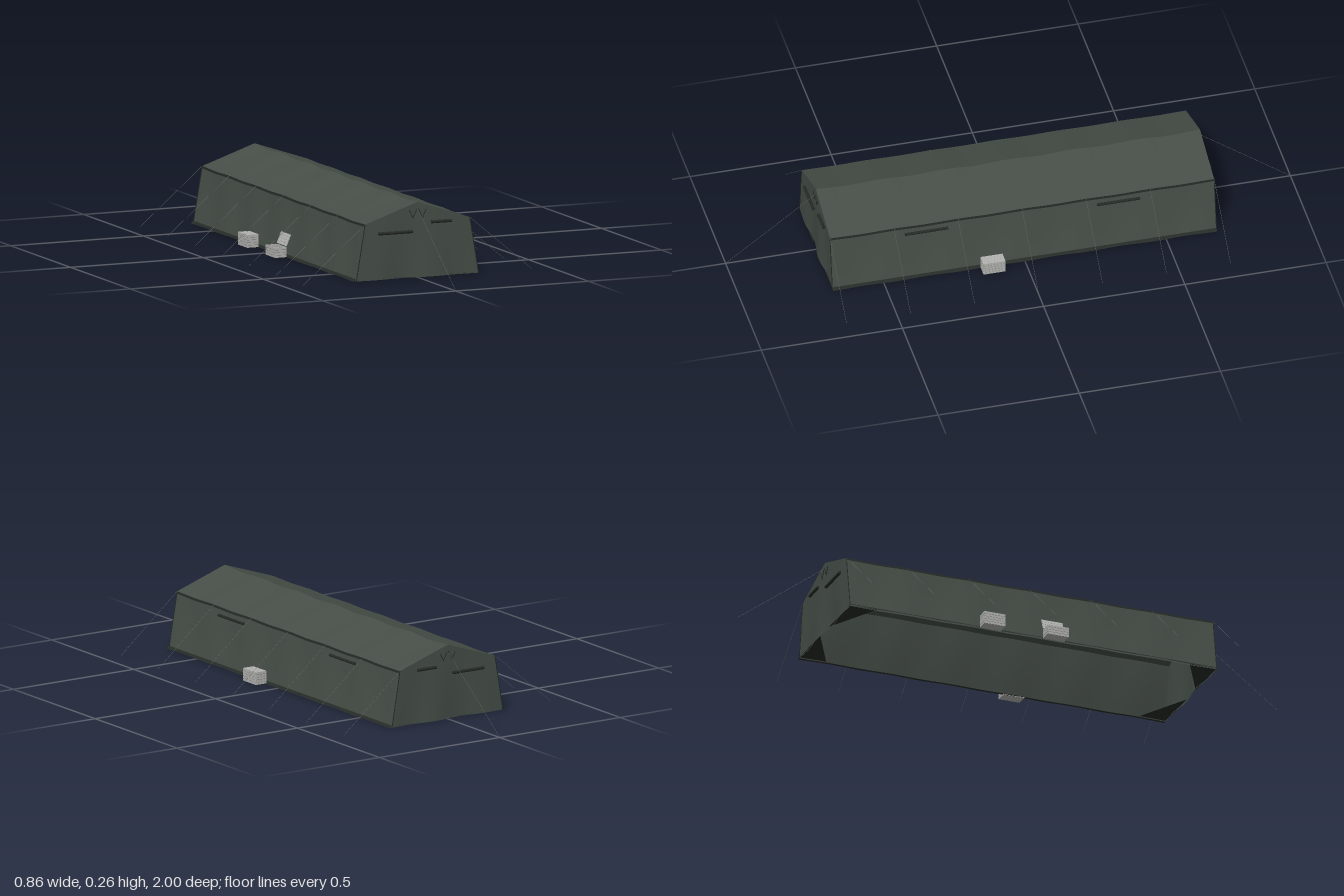
import * as THREE from 'three';

const HALF = 0.68, BAY = HALF / 3;           // half length, spacing of the frames
const BASE = 0.23, EAVE = 0.197, EAVE_Y = 0.196, RIDGE = 0.262;

const mat = (name, color, side = THREE.FrontSide) => {
  const m = new THREE.MeshStandardMaterial({ color, side });
  m.name = name;
  return m;
};

// Smooth grid surface from a rule f(u, v) -> [x, y, z], u and v in 0..1
function surface(f, nu, nv, flip = false) {
  const pos = [], idx = [];
  for (let i = 0; i <= nu; i++)
    for (let j = 0; j <= nv; j++) pos.push(...f(i / nu, j / nv));
  for (let i = 0; i < nu; i++)
    for (let j = 0; j < nv; j++) {
      const a = i * (nv + 1) + j, b = a + nv + 1;
      if (flip) idx.push(a, a + 1, b, b, a + 1, b + 1);
      else idx.push(a, b, a + 1, b, b + 1, a + 1);
    }
  const g = new THREE.BufferGeometry();
  g.setAttribute('position', new THREE.Float32BufferAttribute(pos, 3));
  g.setIndex(idx);
  g.computeVertexNormals();
  return g;
}

// Canvas sag: 0 at every frame, 1 in the middle of a bay
const sag = z => Math.sin(Math.PI * z / BAY) ** 2;

export function createModel() {
  const model = new THREE.Group();
  model.name = 'tent';
  const canvas = mat('canvas', 0x464e47, THREE.DoubleSide);
  const trim = mat('dark trim', 0x262b27, THREE.DoubleSide);
  const rope = mat('rope', 0x6b6b6b);
  const wood = mat('crate grey', 0xb2b2b0);
  const gap = mat('crate shadow grey', 0x777775);

  const add = (name, geo, m, parent = model) => {
    const mesh = new THREE.Mesh(geo, m);
    mesh.name = name;
    parent.add(mesh);
    return mesh;
  };
  const box = (name, w, h, d, x, y, z, m, parent) => {
    const b = add(name, new THREE.BoxGeometry(w, h, d), m, parent);
    b.position.set(x, y, z);
    return b;
  };
  // Straight rod between two points
  const rod = (name, a, b, r, m, parent = model, sides = 6) => {
    const p = new THREE.Vector3(...a), q = new THREE.Vector3(...b);
    const s = add(name, new THREE.CylinderGeometry(r, r, p.distanceTo(q), sides), m, parent);
    s.position.copy(p).add(q).multiplyScalar(0.5);
    s.quaternion.setFromUnitVectors(new THREE.Vector3(0, 1, 0), q.sub(p).normalize());
    return s;
  };

  const zAt = u => (u * 2 - 1) * HALF;
  for (const s of [-1, 1]) {
    const side = s > 0 ? 'left' : 'right';
    const flip = s > 0;
    // Roof slope, sagging between the frames
    add(side + 'Roof', surface((u, v) => {
      const z = zAt(u);
      return [s * EAVE * (1 - v), EAVE_Y + (RIDGE - EAVE_Y) * v - 0.005 * sag(z) * (0.4 + 0.6 * v), z];
    }, 72, 6, !flip ? false : true), canvas);
    // Valance hanging from the eave
    add(side + 'Valance', surface((u, v) => {
      const z = zAt(u);
      return [s * (EAVE + 0.002 * (1 - v)), EAVE_Y - 0.002 * sag(z) - 0.008 * (1 - v), z];
    }, 72, 1, flip), trim);
    // Side wall
    add(side + 'Wall', surface((u, v) => {
      const z = zAt(u);
      const bow = 0.006 * sag(z) * Math.sin(Math.PI * (0.15 + 0.7 * v));
      return [s * (BASE + (EAVE - 0.002 - BASE) * v - bow), EAVE_Y * v - 0.002 * v, z];
    }, 72, 8, flip), canvas);
    // Ground skirt
    add(side + 'Skirt', surface((u, v) => {
      const z = zAt(u);
      return [s * (BASE + (0.011 - 0.004 * sag(z)) * (1 - v)), 0.008 * v, z];
    }, 72, 1, flip), trim);
  }

  for (const e of [-1, 1]) {
    const end = new THREE.Group();
    end.name = e > 0 ? 'frontEnd' : 'backEnd';
    model.add(end);
    // Gable wall with soft vertical folds
    add('gableWall', surface((u, v) => {
      const k = u * 2 - 1;
      const y = v * (EAVE_Y + (RIDGE - EAVE_Y) * (1 - Math.abs(k)));
      const x = k * (BASE + (EAVE - BASE) * Math.min(y / EAVE_Y, 1));
      const fold = 0.006 * Math.sin(2 * Math.PI * k) * (1 - v) * (1 - k * k);
      return [x, y, e * (HALF - 0.001 + fold)];
    }, 32, 12, e < 0), canvas, end);
    // Rolled window covers
    for (const [x0, x1, y] of [[-0.148, -0.02, 0.161], [0.05, 0.126, 0.19]]) {
      rod('windowRoll', [x0, y, e * 0.684], [x1, y, e * 0.684], 0.0055, trim, end, 10);
      box('windowFlap', x1 - x0, 0.004, 0.004, (x0 + x1) / 2, y - 0.003, e * 0.684, trim, end);
    }
    // Pointed vents below the ridge
    for (const s of [-1, 1]) {
      const z = e * (HALF + 0.002);
      rod('ventSeam', [s * 0.031, 0.235, z], [s * 0.018, 0.208, z], 0.0013, trim, end);
      rod('ventSeam', [s * 0.018, 0.208, z], [s * 0.002, 0.24, z], 0.0013, trim, end);
      // Corner edge pole and folded cloth in the floor corner
      rod('cornerSeam', [s * BASE, 0.001, e * HALF], [s * EAVE, EAVE_Y, e * HALF], 0.0015, trim, end);
      const tri = new THREE.Shape([[0, 0], [-0.19, 0], [0, -0.1]].map(([a, b]) => new THREE.Vector2(s * (BASE + a), e * (HALF + b))));
      add('cornerFold', new THREE.ShapeGeometry(tri).rotateX(Math.PI / 2).translate(0, 0.003, 0), trim, end);
    }
    // End guy line
    rod('endGuyLine', [0, 0.24, e * HALF], [0, 0.001, e * 0.999], 0.0006, rope, end, 4);
  }

  // Side guy lines, one at each frame
  for (let i = -3; i <= 3; i++)
    for (const s of [-1, 1]) {
      const z = i * BAY;
      rod('guyLine', [s * EAVE, EAVE_Y, z], [s * 0.43, 0.001, z], 0.0006, rope, model, 4);
    }

  // Rolled window covers on the left wall
  for (const z of [0.34, -0.34])
    rod('sideWindowRoll', [0.204, 0.168, z - 0.076], [0.204, 0.168, z + 0.076], 0.005, trim, model, 10);

  // Slatted crate, 0.043 wide, 0.045 high, 0.078 long
  function crate(x, z, open) {
    const g = new THREE.Group();
    g.name = open ? 'openCrate' : 'closedCrate';
    g.position.set(x, 0, z);
    model.add(g);
    const w = 0.043, d = 0.078, t = 0.003, rows = open ? 4 : 5;
    for (let i = 0; i < rows; i++) {
      const y = 0.0042 + i * 0.009;
      for (const s of [-1, 1]) {
        box('sideSlat', t, 0.0078, d, s * (w - t) / 2, y, 0, wood, g);
        box('endSlat', w - 2 * t, 0.0078, t, 0, y, s * (d - t) / 2, wood, g);
        if (i) {
          box('sideGap', t * 0.6, 0.002, d - t, s * (w - t) / 2, y - 0.0045, 0, gap, g);
          box('endGap', w - t, 0.002, t * 0.6, 0, y - 0.0045, s * (d - t) / 2, gap, g);
        }
      }
    }
    box('crateFloor', w - 2 * t, 0.003, d - 2 * t, 0, 0.0015, 0, wood, g);
    // Lid of planks, hinged towards the tent when open
    const lid = new THREE.Group();
    lid.name = 'lid';
    g.add(lid);
    for (let i = 0; i < 4; i++)
      box('lidPlank', w / 4 - 0.0006, 0.003, d, -w / 2 + (i + 0.5) * w / 4, 0, 0, wood, lid);
    box('lidBacking', w - 0.002, 0.0015, d - 0.002, 0, 0, 0, gap, lid);
    if (open) {
      lid.rotation.z = 1.17;
      lid.position.set(w / 2 + 0.008, 0.058, 0);
    } else lid.position.y = 0.0435;
  }
  crate(0.257, 0.118, false);
  crate(-0.257, -0.162, false);
  crate(-0.258, 0.072, true);

  return model;
}
